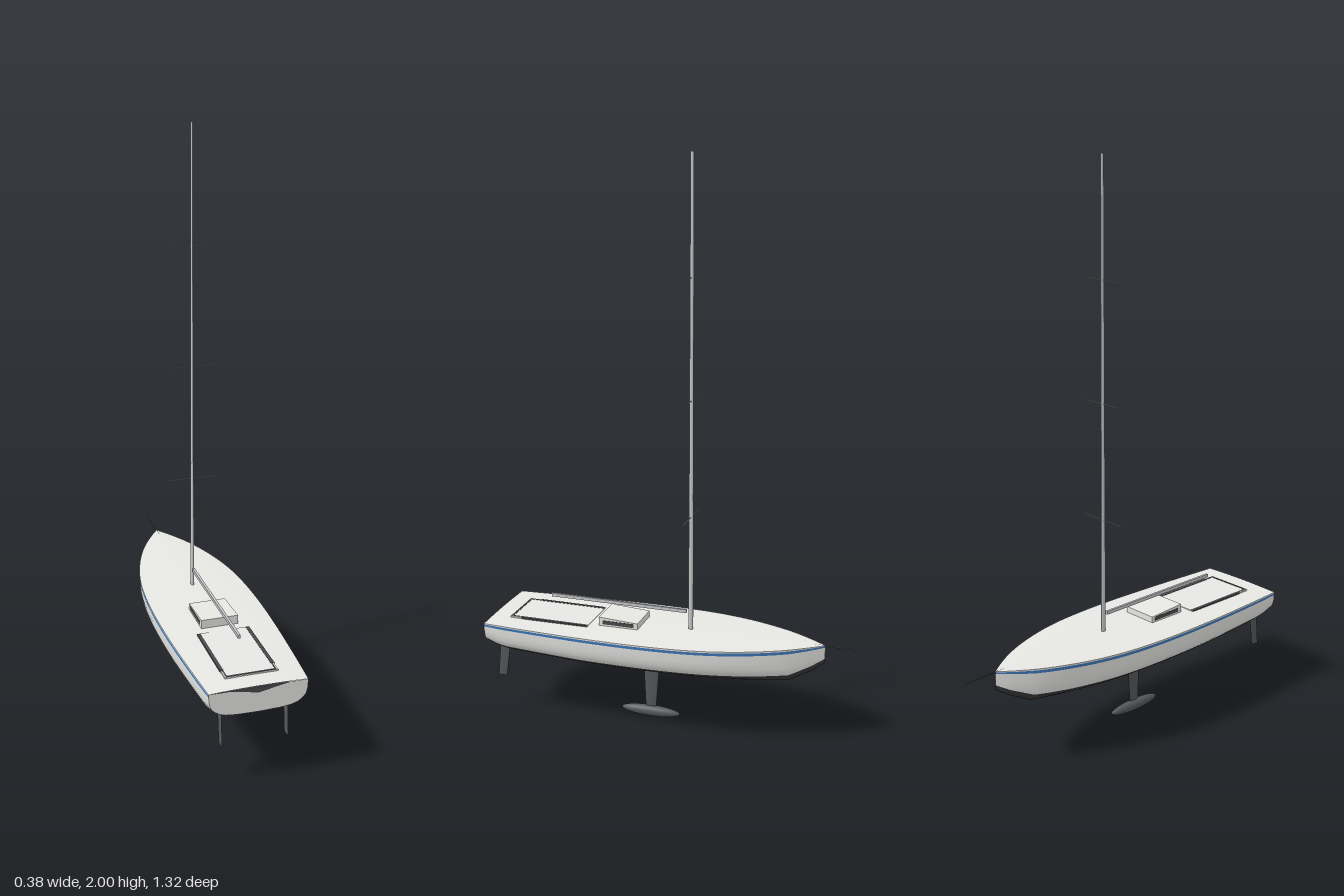
import * as THREE from 'three';

const paint = (name, color, side = THREE.FrontSide) => {
  const m = new THREE.MeshStandardMaterial({ color, side });
  m.name = name;
  return m;
};

export function createModel() {
  const boat = new THREE.Group();
  boat.name = 'sailingYacht';
  const hullWhite = paint('hullWhite', 0xeeeeec, THREE.DoubleSide);
  const deckGrey = paint('deckGrey', 0xe8e8e5);
  const bottomBlack = paint('bottomBlack', 0x37373a, THREE.DoubleSide);
  const stripeBlue = paint('stripeBlue', 0x3f78b8, THREE.DoubleSide);
  const sparGrey = paint('sparGrey', 0xc6c8ca);
  const foilGrey = paint('foilGrey', 0x55575a);
  const trimDark = paint('trimDark', 0x47494b);

  const add = (name, geometry, material, x = 0, y = 0, z = 0) => {
    const mesh = new THREE.Mesh(geometry, material);
    mesh.name = name;
    mesh.position.set(x, y, z);
    boat.add(mesh);
    return mesh;
  };
  const box = (name, material, sx, sy, sz, x, y, z) =>
    add(name, new THREE.BoxGeometry(sx, sy, sz), material, x, y, z);

  // Hull lines: half-beam in plan, keel line and sheer line
  const stations = new THREE.SplineCurve([
    [-0.541, 0.0005], [-0.48, 0.043], [-0.4, 0.089], [-0.3, 0.13], [-0.2, 0.159], [-0.1, 0.177],
    [0.02, 0.187], [0.15, 0.19], [0.3, 0.187], [0.48, 0.178], [0.66, 0.166],
  ].map(([z, w]) => new THREE.Vector2(z, w))).getPoints(60);
  const keelLine = [[-0.541, 0.295], [-0.5, 0.266], [-0.43, 0.23], [-0.3, 0.228], [0.3, 0.228], [0.6, 0.238], [0.66, 0.26]];
  const keelY = (z) => {
    let k = 1;
    while (k < keelLine.length - 1 && z > keelLine[k][0]) k++;
    const [a, b] = [keelLine[k - 1], keelLine[k]];
    return a[1] + (b[1] - a[1]) * THREE.MathUtils.clamp((z - a[0]) / (b[0] - a[0]), 0, 1);
  };
  const sheerY = (z) => 0.349 + 0.011 * Math.pow((0.66 - z) / 1.2, 1.5);
  const at = (s, [u, v]) => {
    const bottom = keelY(s.x);
    return [u * s.y, bottom + (sheerY(s.x) - bottom) * v, s.x];
  };

  // Lofts a row of section points [beam fraction, depth fraction] along the hull
  const loft = (rows, crown = 0) => {
    const pos = [], index = [], n = rows.length;
    stations.forEach((s, i) => rows.forEach((r, j) => {
      const [x, y, z] = at(s, r);
      pos.push(x, y + crown * (1 - r[0] * r[0]) * s.y / 0.19, z);
      if (i && j) {
        const d = i * n + j, c = d - 1, b = d - n, a = b - 1;
        index.push(a, c, b, b, c, d);
      }
    }));
    const g = new THREE.BufferGeometry();
    g.setAttribute('position', new THREE.Float32BufferAttribute(pos, 3));
    g.setIndex(index);
    g.computeVertexNormals();
    return g;
  };
  const mirror = (rows) => rows.map(([u, v]) => [-u, v]).reverse();

  const rail = [[1, 1], [1, 0.96]];
  const stripe = [[1, 0.96], [0.998, 0.88]];
  const side = [[0.998, 0.88], [0.99, 0.65], [0.965, 0.46], [0.925, 0.33], [0.875, 0.25]];
  const under = [[0.875, 0.25], [0.79, 0.14], [0.66, 0.065], [0.45, 0.02], [0, 0]];
  for (const [name, rows, mat] of [['rail', rail, hullWhite], ['sheerStripe', stripe, stripeBlue], ['topside', side, hullWhite]]) {
    add(name + 'Left', loft(rows), mat);
    add(name + 'Right', loft(mirror(rows)), mat);
  }
  add('hullBottom', loft([...under, ...mirror(under).slice(1)]), bottomBlack);
  add('deck', loft([-1, -0.75, -0.5, -0.25, 0, 0.25, 0.5, 0.75, 1].map((u) => [u, 1]), 0.004), deckGrey);

  // Transom closing the stern, with a dark recess at its top edge
  const half = [...rail, ...side, ...under];
  const stern = stations[stations.length - 1];
  const outline = [...half, ...mirror(half)].map((r) => new THREE.Vector2(...at(stern, r).slice(0, 2)));
  add('transom', new THREE.ShapeGeometry(new THREE.Shape(outline)), hullWhite, 0, 0, 0.66);
  const recess = new THREE.Shape([[-0.1, 0.349], [0, 0.33], [0.1, 0.349]].map(([x, y]) => new THREE.Vector2(x, y)));
  add('transomRecess', new THREE.ShapeGeometry(recess), trimDark, 0, 0, 0.662);

  // Cockpit floor and its dark edges
  box('cockpitFloor', deckGrey, 0.18, 0.005, 0.295, 0, 0.3545, 0.4425);
  for (const s of [-1, 1]) {
    box('cockpitSideTrim', trimDark, 0.012, 0.006, 0.25, s * 0.086, 0.3552, 0.422);
    box('cockpitAftSideTrim', trimDark, 0.004, 0.006, 0.04, s * 0.083, 0.3552, 0.565);
  }
  box('cockpitAftTrim', trimDark, 0.17, 0.006, 0.007, 0, 0.3552, 0.585);

  // Companionway cabin, roof sloping down toward the bow
  const cabin = new THREE.BoxGeometry(0.13, 0.036, 0.145);
  const p = cabin.attributes.position;
  for (let i = 0; i < p.count; i++) if (p.getY(i) > 0 && p.getZ(i) < 0) p.setY(i, 0.01);
  cabin.computeVertexNormals();
  add('cabin', cabin, deckGrey, 0, 0.368, 0.188);
  for (const s of [-1, 1]) box('cabinWindow', trimDark, 0.003, 0.014, 0.115, s * 0.0645, 0.368, 0.188);

  // Mast in two stages, spreaders, boom and bowsprit
  const spar = (name, r0, r1, y0, y1) => {
    const m = add(name, new THREE.CylinderGeometry(r1, r0, y1 - y0, 16), sparGrey, 0, (y0 + y1) / 2, -0.06);
    m.scale.x = 0.65;
  };
  spar('lowerMast', 0.009, 0.008, 0.35, 0.83);
  spar('upperMast', 0.0075, 0.006, 0.83, 2);
  for (const [y, r] of [[0.77, 0.09], [1.18, 0.081], [1.595, 0.073]]) {
    add('spreader', new THREE.CylinderGeometry(0.0014, 0.0014, 2 * r, 8), sparGrey, 0, y, -0.06).rotation.z = Math.PI / 2;
  }
  box('boom', sparGrey, 0.009, 0.012, 0.51, 0, 0.422, 0.21);
  add('bowsprit', new THREE.CylinderGeometry(0.0025, 0.0025, 0.16, 8), foilGrey, 0, 0.358, -0.58).rotation.x = Math.PI / 2;

  // Tapered foil: fore and aft z at the top and the bottom, lens-shaped section
  const foil = (name, x, y0, y1, top, bottom, thick) => {
    const g = new THREE.CylinderGeometry(1, 1, 1, 16);
    const q = g.attributes.position;
    for (let i = 0; i < q.count; i++) {
      const up = q.getY(i) > 0, [a, b] = up ? top : bottom;
      q.setXYZ(i, q.getX(i) * thick / 2, up ? y1 : y0, (a + b) / 2 + q.getZ(i) * (b - a) / 2);
    }
    g.computeVertexNormals();
    add(name, g, foilGrey, x);
  };
  foil('keelFin', 0, 0.03, 0.24, [0.053, 0.117], [0.069, 0.108], 0.008);
  foil('leftRudder', 0.112, 0.135, 0.262, [0.583, 0.622], [0.6, 0.634], 0.006);
  foil('rightRudder', -0.112, 0.135, 0.262, [0.583, 0.622], [0.6, 0.634], 0.006);

  // Ballast bulb
  add('keelBulb', new THREE.SphereGeometry(1, 24, 16).rotateX(Math.PI / 2), foilGrey, 0, 0.021, 0.09).scale.set(0.02, 0.02, 0.11);

  return boat;
}
